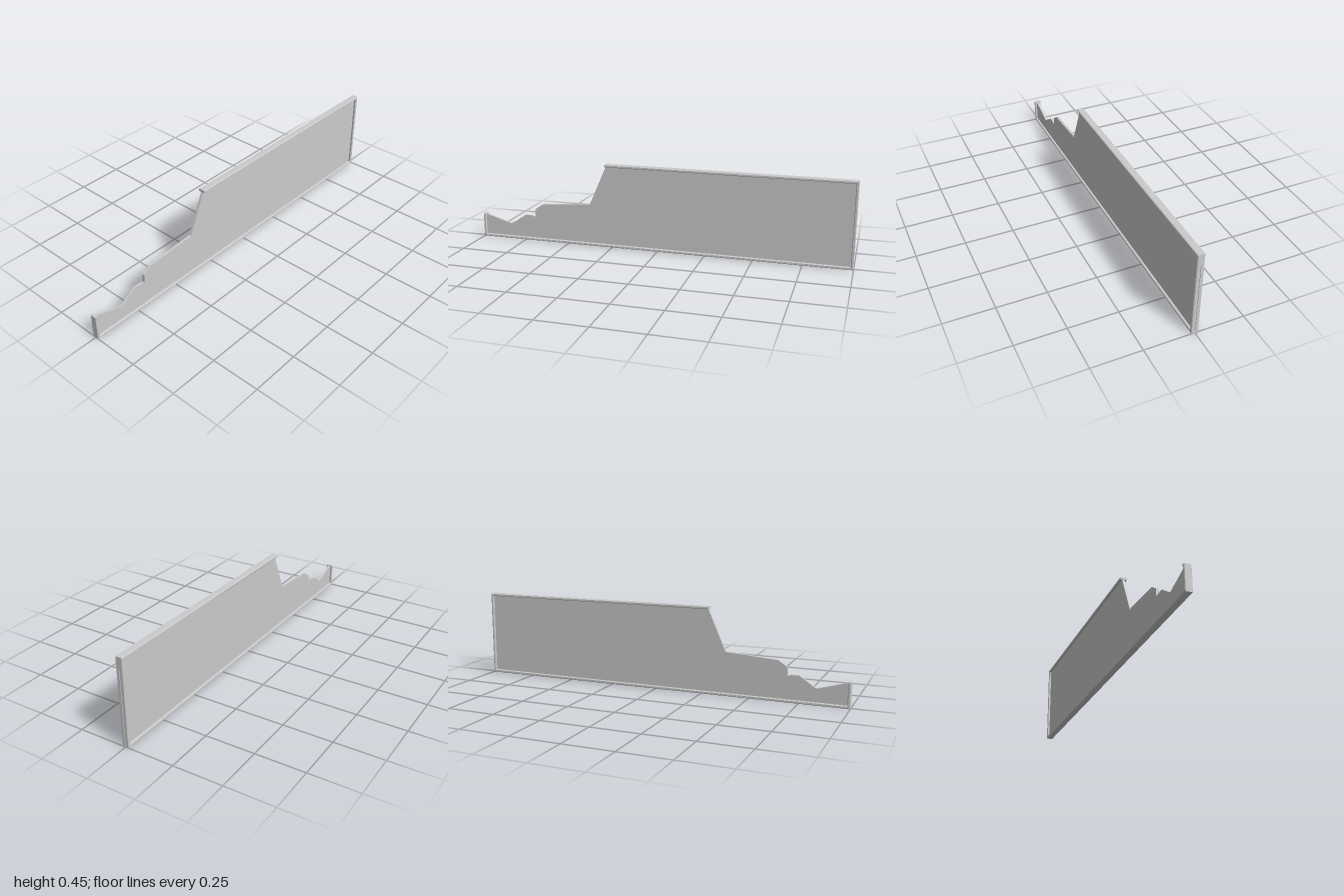
import * as THREE from 'three';

const HEIGHT = 0.448, HALF = 0.018, DEPTH = 0.014, BEVEL = 0.003;
const material = new THREE.MeshStandardMaterial({ color: 0xcccccc, flatShading: true });

// Trim cross-section: x across, y inward from the outer edge; optional thin slot in the outer face
function trimProfile(slot) {
  const pts = [
    [-HALF + BEVEL, 0],
    ...(slot ? [[-0.002, 0], [-0.002, 0.003], [0.002, 0.003], [0.002, 0]] : []),
    [HALF - BEVEL, 0], [HALF, BEVEL], [HALF, DEPTH - BEVEL], [HALF - BEVEL, DEPTH],
    [-HALF + BEVEL, DEPTH], [-HALF, DEPTH - BEVEL], [-HALF, BEVEL],
  ];
  return new THREE.Shape(pts.map(([x, y]) => new THREE.Vector2(x, y)));
}

// Straight trim strip from a to b along its own z, with optional mitred ends
function strip(name, a, b, { mitreA = false, mitreB = false, slot = false, turn = 0, y = 0, z = 0 }) {
  const geo = new THREE.ExtrudeGeometry(trimProfile(slot), { depth: 1, bevelEnabled: false });
  const p = geo.attributes.position;
  for (let i = 0; i < p.count; i++) {
    const d = p.getY(i);
    p.setZ(i, p.getZ(i) < 0.5 ? a + (mitreA ? d : 0) : b - (mitreB ? d : 0));
  }
  geo.rotateX(turn);
  geo.translate(0, y, z);
  geo.computeVertexNormals();
  const mesh = new THREE.Mesh(geo, material);
  mesh.name = name;
  return mesh;
}

export function createModel() {
  const group = new THREE.Group();
  group.name = 'profiledSidePanel';

  // Thin board with the stepped front outline, as (z, y)
  const outline = [
    [0.995, 0.128], [0.835, 0.081], [0.75, 0.138], [0.712, 0.137], [0.692, 0.131], [0.69, 0.175],
    [0.645, 0.205], [0.375, 0.224], [0.28, 0.438], [-0.99, 0.438], [-0.99, 0.008], [0.995, 0.008],
  ];
  const shape = new THREE.Shape(outline.map(([z, y]) => new THREE.Vector2(-z, y)));
  const board = new THREE.ExtrudeGeometry(shape, { depth: 0.013, bevelEnabled: false });
  board.translate(0, 0, -0.0065);
  board.rotateY(Math.PI / 2);
  const panel = new THREE.Mesh(board, material);
  panel.name = 'panel';
  group.add(panel);

  // Edge trims, mitred where they meet
  const q = Math.PI / 2;
  group.add(
    strip('bottomTrim', -1, 1, { mitreA: true, mitreB: true }),
    strip('topTrim', -0.285, 1, { mitreB: true, turn: Math.PI, y: HEIGHT }),
    strip('frontTrim', 0, 0.129, { mitreA: true, turn: -q, z: 1 }),
    strip('backTrimUpper', -HEIGHT, -0.39, { mitreA: true, turn: q, z: -1 }),
    strip('backTrimSlotted', -0.39, 0, { mitreB: true, slot: true, turn: q, z: -1 }),
  );
  return group;
}
